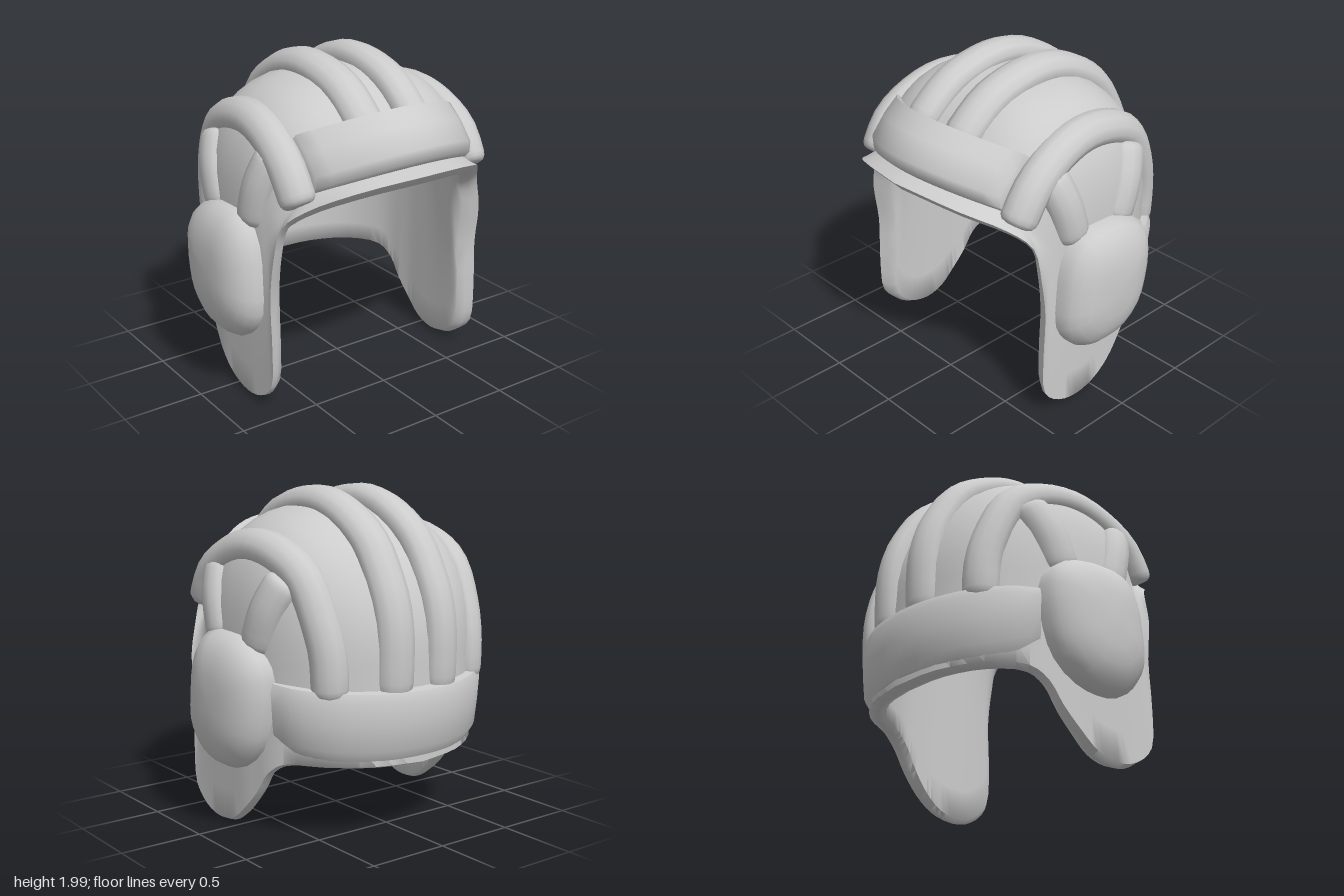
import * as THREE from 'three';
import { toCreasedNormals } from 'three/addons/utils/BufferGeometryUtils.js';

const V = (x, y, z) => new THREE.Vector3(x, y, z);
const material = new THREE.MeshStandardMaterial({ color: 0xcccccc });

// Closed skin over a list of closed rings; ends can be capped at their centres.
function loft(rings, capped = true, crease = 0.9) {
  const n = rings[0].length;
  if (capped) {
    const centre = (r) => {
      const c = r.reduce((s, p) => s.add(p), V(0, 0, 0)).divideScalar(n);
      return r.map(() => c);
    };
    rings = [centre(rings[0]), ...rings, centre(rings[rings.length - 1])];
  }
  const tris = [];
  let volume = 0;
  const add = (a, b, c) => {
    if (a.distanceTo(b) < 1e-6 || b.distanceTo(c) < 1e-6 || c.distanceTo(a) < 1e-6) return;
    volume += a.dot(b.clone().cross(c));
    tris.push([a, b, c]);
  };
  for (let i = 0; i < rings.length - 1; i++) {
    for (let j = 0; j < n; j++) {
      const k = (j + 1) % n;
      add(rings[i][j], rings[i + 1][j], rings[i + 1][k]);
      add(rings[i][j], rings[i + 1][k], rings[i][k]);
    }
  }
  // Turn all faces outward
  const points = tris.flatMap(([a, b, c]) => (volume > 0 ? [a, b, c] : [a, c, b]));
  const geometry = new THREE.BufferGeometry().setFromPoints(points);
  return toCreasedNormals(geometry, crease);
}

// Padded roll along a path: width across the shell, depth away from it, rounded ends.
function roll(path, width, depth, steps, endLength) {
  const curve = new THREE.CatmullRomCurve3(path);
  const length = curve.getLength();
  const rings = [];
  const ts = [0, 0.15, 0.5, 1].map((e) => (e * endLength) / length);
  for (let i = 1; i < steps; i++) ts.push(ts[3] + ((1 - 2 * ts[3]) * i) / steps);
  ts.push(...ts.slice(0, 4).reverse().map((t) => 1 - t));
  for (const t of ts) {
    const p = curve.getPointAt(t);
    const tangent = curve.getTangentAt(t);
    const side = tangent.clone().cross(p.clone().sub(V(0, 0.95, 0))).normalize();
    const out = side.clone().cross(tangent);
    const e = Math.min(1, (Math.min(t, 1 - t) * length) / endLength);
    const s = 0.6 + 0.4 * Math.sqrt(1 - (1 - e) ** 2);
    rings.push(Array.from({ length: 12 }, (_, j) => {
      const a = (j / 12) * Math.PI * 2;
      return p.clone().addScaledVector(side, Math.cos(a) * width * s)
        .addScaledVector(out, Math.sin(a) * depth * s);
    }));
  }
  return loft(rings, true, 1.1);
}

// Point on the dome at azimuth phi (0 = front) and height y, inset by off.
function domePoint(phi, f, yEnd, off) {
  const sx = Math.sin(phi), cz = Math.cos(phi);
  const rx = 0.76 - off, rz = (cz > 0 ? 0.74 : 0.8) - off, H = 0.85 - off;
  const r = (Math.abs(sx / rx) ** 2.4 + Math.abs(cz / rz) ** 2.4) ** (-1 / 2.4);
  const p = 2 + 0.8 * sx * sx;
  const a = f * Math.acos(Math.min(1, (yEnd - 1.05) / H) ** (p / 2));
  const s = Math.sin(a) ** (2 / p);
  return V(sx * r * s, 1.05 + H * Math.cos(a) ** (2 / p), cz * r * s);
}

function shellGeometry() {
  // Rim from brow to nape, down round the cheek flap
  const rim = new THREE.CatmullRomCurve3([
    [0, 1.43, 0.87], [0.42, 1.38, 0.77], [0.62, 1.26, 0.58], [0.71, 1.15, 0.48],
    [0.755, 0.95, 0.46], [0.76, 0.7, 0.43], [0.76, 0.4, 0.44], [0.76, 0.15, 0.42],
    [0.76, 0.04, 0.3], [0.76, 0.005, 0.15], [0.76, 0.04, 0], [0.76, 0.13, -0.12],
    [0.745, 0.25, -0.23], [0.73, 0.38, -0.32], [0.69, 0.45, -0.42],
    [0.55, 0.46, -0.62], [0.3, 0.45, -0.77], [0, 0.44, -0.82],
  ].map((p) => V(...p)));
  // Azimuth and height where the dome turns into the wall, per rim point
  const azimuth = [0, 28, 46, 53, 58, 62, 66, 70, 74, 81, 90, 98, 106, 113, 121, 138, 159, 180];
  const turn = new THREE.CatmullRomCurve3(azimuth.map((a, i) =>
    V((a * Math.PI) / 180, [1.5, 1.45, 1.36, 1.27, 1.22, 1.2][i] ?? 1.15, 0)));
  const N = 51;
  const column = (i) => {
    const R = rim.getPoint(i / N);
    const { x: phi, y: yE } = turn.getPoint(i / N);
    const side = (off, end) => {
      const pts = [];
      for (let k = 0; k <= 10; k++) pts.push(domePoint(phi, k / 10, yE, off));
      for (let k = 1; k <= 6; k++) pts.push(pts[10].clone().lerp(end, k / 6));
      return pts;
    };
    const outer = R.clone().setY(R.y + 0.02);
    const inner = V(R.x * 0.88, R.y + 0.02 - 0.08 * Math.max(0, (R.y - 1) / 0.43), R.z * 0.88);
    const edge = outer.clone().lerp(inner, 0.5);
    edge.y -= 0.02;
    return [...side(0, outer), edge, ...side(0.09, inner).reverse()];
  };
  const half = Array.from({ length: N + 1 }, (_, i) => column(i));
  const mirrored = half.slice(1, N).reverse().map((c) => c.map((p) => V(-p.x, p.y, p.z)));
  const columns = [...half, ...mirrored];
  return loft(columns[0].map((_, k) => columns.map((c) => c[k])), false, 1.2);
}

// Slab across the brow, bowed back and down toward its ends
function browPadGeometry() {
  const section = [[0.64, 1.79], [0.74, 1.71], [0.835, 1.6], [0.83, 1.53], [0.79, 1.49],
    [0.6, 1.5], [0.55, 1.7]];
  const rings = [];
  for (let i = -8; i <= 8; i++) {
    const u = i / 8;
    rings.push(section.map(([z, y]) => V(0.55 * u, y - 0.13 * u * u, z - 0.25 * u * u)));
  }
  return loft(rings);
}

// Band wrapped round the nape
function napePadGeometry() {
  const half = [[0.745, -0.38], [0.7, -0.52], [0.57, -0.68], [0.4, -0.79], [0.2, -0.86]];
  const plan = [...half, [0, -0.88], ...half.slice().reverse().map(([x, z]) => [-x, z])];
  const curve = new THREE.CatmullRomCurve3(plan.map(([x, z]) => V(x, 0, z)));
  const rings = [];
  for (let i = 0; i <= 28; i++) {
    const p = curve.getPointAt(i / 28);
    const e = Math.abs(i / 14 - 1);
    const lo = 0.5 + 0.09 * e ** 4, hi = 0.89 + 0.045 * e ** 2;
    rings.push([[-0.13, lo], [-0.06, lo], [-0.025, lo + 0.06], [-0.01, lo + 0.2],
      [0, hi - 0.05], [-0.02, hi], [-0.13, hi + 0.02]].map(([o, y]) => {
      const k = 1 + o / p.length();
      return V(p.x * k, y, p.z * k);
    }));
  }
  return loft(rings);
}

// Domed cup over the ear, outline given as (z, y)
function earCupGeometry(side) {
  const outline = new THREE.CatmullRomCurve3([
    [0.19, 1.16], [0, 1.18], [-0.16, 1.16], [-0.32, 1.07], [-0.37, 0.95], [-0.35, 0.7],
    [-0.29, 0.53], [-0.15, 0.41], [0, 0.38], [0.15, 0.4], [0.26, 0.48], [0.33, 0.6],
    [0.325, 0.8], [0.29, 1.01],
  ].map(([z, y]) => V(0, y, z)), true).getPoints(28).slice(0, 28);
  const levels = [[0.68, 1], [0.79, 1], [0.84, 0.93], [0.88, 0.82], [0.915, 0.64], [0.935, 0.4]];
  return loft(levels.map(([x, s]) =>
    outline.map((p) => V(side * x, 0.78 + (p.y - 0.78) * s, p.z * s))), true, 1.1);
}

export function createModel() {
  const group = new THREE.Group();
  const add = (name, geometry) => {
    const mesh = new THREE.Mesh(geometry, material);
    mesh.name = name;
    group.add(mesh);
  };
  add('shell', shellGeometry());
  add('browPad', browPadGeometry());
  add('napePad', napePadGeometry());

  for (const side of [1, -1]) {
    const label = side > 0 ? 'left' : 'right';
    const path = (pts) => pts.map(([x, y, z]) => V(side * x, y, z));
    // Crown rolls from brow to nape
    add(label + 'CrownRoll', roll(path([
      [0.55, 1.63], [0.46, 1.72], [0.29, 1.84], [0, 1.908], [-0.2, 1.89], [-0.39, 1.81],
      [-0.55, 1.69], [-0.655, 1.53], [-0.725, 1.38], [-0.76, 1.2], [-0.755, 0.85],
    ].map(([z, y]) => [0.168, y, z])), 0.118, 0.092, 24, 0.09));
    // Arched rolls over the ears
    add(label + 'SideRoll', roll(path([
      [0.62, 1.3, 0.53], [0.625, 1.5, 0.4], [0.61, 1.62, 0.21], [0.595, 1.67, 0],
      [0.58, 1.63, -0.25], [0.56, 1.52, -0.44], [0.54, 1.3, -0.56], [0.52, 1.1, -0.615],
      [0.51, 0.86, -0.62],
    ]), 0.11, 0.092, 22, 0.06));
    // Short pads above the ear cup
    add(label + 'FrontTemplePad', roll(path([
      [0.635, 1.54, 0.3], [0.695, 1.36, 0.24], [0.71, 1.12, 0.17],
    ]), 0.11, 0.09, 7, 0.06));
    add(label + 'RearTemplePad', roll(path([
      [0.625, 1.51, -0.36], [0.69, 1.33, -0.28], [0.705, 1.1, -0.19],
    ]), 0.12, 0.09, 7, 0.06));
    add(label + 'EarCup', earCupGeometry(side));
  }
  return group;
}
